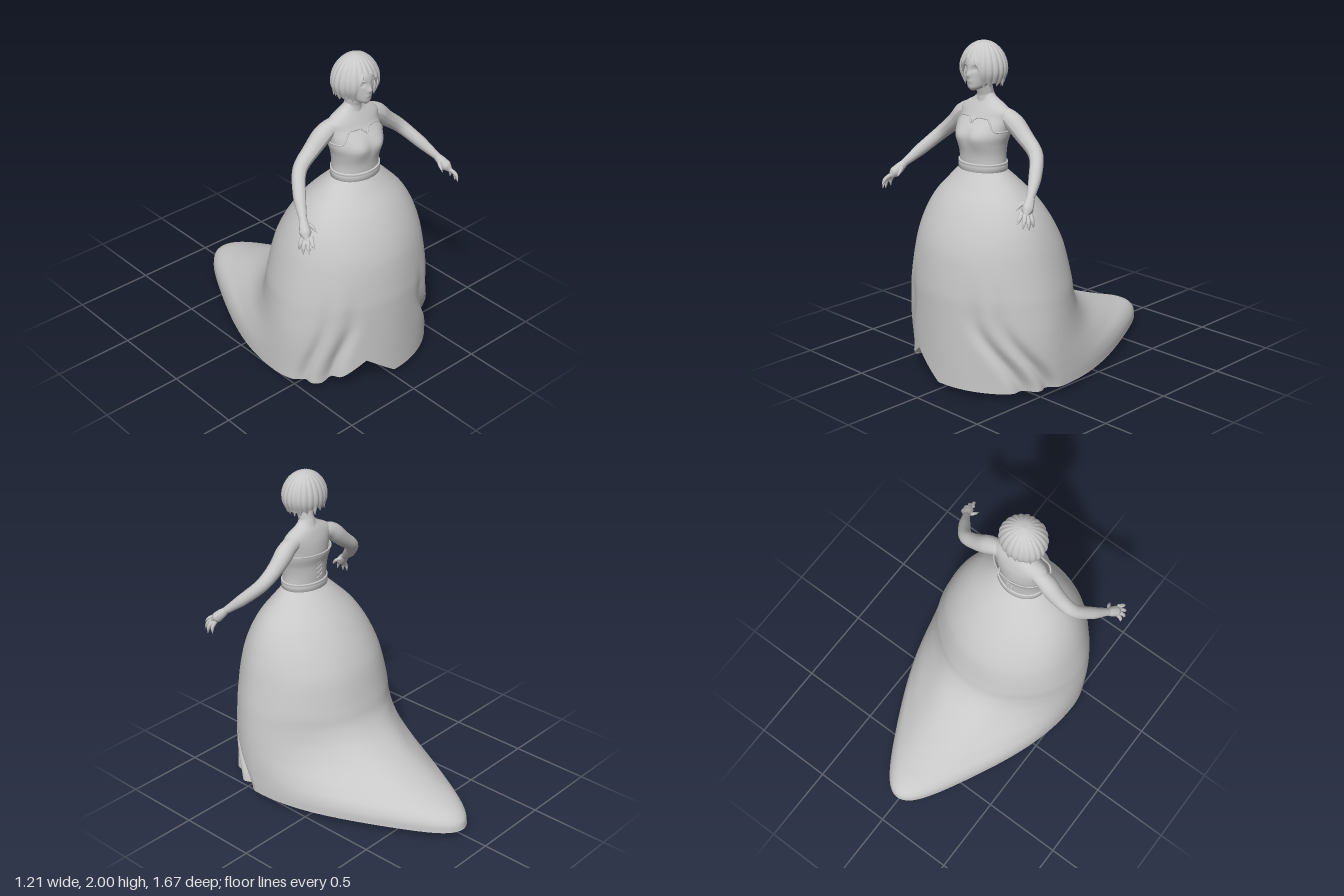
import * as THREE from 'three';

const { sin, cos, abs, max, PI, exp } = Math;
const V = (x, y, z) => new THREE.Vector3(x, y, z);
const smooth = (x, a, b) => THREE.MathUtils.smoothstep(x, a, b);
const bump = (x, c, s) => exp(-(((x - c) / s) ** 2));

// Smooth lookup in a table of rows [y, ...values] ordered by rising y.
function sample(rows, y) {
  let i = 0;
  while (i < rows.length - 2 && y > rows[i + 1][0]) i++;
  const h = rows[i + 1][0] - rows[i][0];
  const t = THREE.MathUtils.clamp((y - rows[i][0]) / h, 0, 1);
  const slope = (n, k) => {
    const a = rows[max(0, n - 1)], b = rows[Math.min(rows.length - 1, n + 1)];
    return (b[k] - a[k]) / (b[0] - a[0]);
  };
  return rows[i].map((p, k) => {
    const q = rows[i + 1][k];
    return p + t * t * (3 - 2 * t) * (q - p)
      + h * t * (1 - t) * ((1 - t) * slope(i, k) - t * slope(i + 1, k));
  });
}

// Closed surface of rings: fn(angle, v) gives a point; angle 0 is the front, v runs upwards.
function rings(nu, nv, fn) {
  const pos = [], idx = [];
  for (let j = 0; j <= nv; j++) {
    for (let i = 0; i < nu; i++) pos.push(...fn((i / nu) * 2 * PI, j / nv).toArray());
  }
  for (let j = 0; j < nv; j++) {
    for (let i = 0; i < nu; i++) {
      const a = j * nu + i, b = j * nu + ((i + 1) % nu);
      idx.push(a, b, b + nu, a, b + nu, a + nu);
    }
  }
  const g = new THREE.BufferGeometry();
  g.setAttribute('position', new THREE.Float32BufferAttribute(pos, 3));
  g.setIndex(idx);
  g.computeVertexNormals();
  return g;
}

// Point on a body ring; rows are [y, halfWidth, zFront, zBack, zWidest, backTaper].
function ringPoint(rows, a, y, grow = 0) {
  const [, w, zf, zb, zc = (zf + zb) / 2, taper = 0] = sample(rows, y);
  const c = cos(a);
  const narrow = c < 0 ? 1 - taper * (0.7 * c * c - 0.32 * c ** 4) : 1;
  return V((w + grow) * sin(a) * narrow, y, zc + c * (c > 0 ? zf - zc + grow : zc - zb + grow));
}

// Tapered tube through points, with a radius at each point.
function limb(points, radii, segs = 20, sides = 12) {
  const curve = new THREE.CatmullRomCurve3(points.map((p) => V(...p)));
  const g = new THREE.TubeGeometry(curve, segs, 1, sides);
  const p = g.attributes.position;
  for (let j = 0; j <= segs; j++) {
    const c = curve.getPointAt(j / segs), f = (j / segs) * (radii.length - 1);
    const i = Math.min(Math.floor(f), radii.length - 2);
    const r = THREE.MathUtils.lerp(radii[i], radii[i + 1], f - i);
    for (let k = 0; k <= sides; k++) {
      const n = j * (sides + 1) + k;
      const q = V().fromBufferAttribute(p, n).sub(c).multiplyScalar(r).add(c);
      p.setXYZ(n, q.x, q.y, q.z);
    }
  }
  g.computeVertexNormals();
  return g;
}

const SKIRT = [
  [0.045, 0.548, 0.835, -0.835, 0.36, 1], [0.1, 0.548, 0.835, -0.82, 0.36, 1],
  [0.15, 0.547, 0.835, -0.75, 0.365, 1], [0.2, 0.546, 0.835, -0.6, 0.37, 0.95],
  [0.3, 0.541, 0.835, -0.34, 0.385, 0.8], [0.4, 0.533, 0.835, -0.175, 0.395, 0.55],
  [0.5, 0.521, 0.835, -0.09, 0.4, 0.3], [0.6, 0.506, 0.833, -0.055, 0.405, 0.12],
  [0.8, 0.46, 0.81, 0, 0.42, 0], [0.9, 0.43, 0.785, 0.045, 0.43, 0],
  [1, 0.387, 0.745, 0.105, 0.44, 0], [1.1, 0.322, 0.69, 0.18, 0.45, 0],
  [1.2, 0.225, 0.615, 0.275, 0.455, 0], [1.27, 0.15, 0.565, 0.35, 0.458, 0],
];
const TORSO = [
  [1.26, 0.145, 0.563, 0.352], [1.35, 0.141, 0.567, 0.345], [1.42, 0.152, 0.575, 0.34],
  [1.47, 0.167, 0.575, 0.335], [1.52, 0.173, 0.555, 0.335], [1.57, 0.178, 0.52, 0.34],
  [1.61, 0.18, 0.5, 0.35], [1.64, 0.14, 0.485, 0.36], [1.66, 0.098, 0.475, 0.37],
  [1.68, 0.066, 0.472, 0.38], [1.7, 0.05, 0.47, 0.387],
];
const HEAD = [
  [1.725, 0.012, 0.54, 0.51], [1.74, 0.042, 0.553, 0.45], [1.77, 0.062, 0.557, 0.4],
  [1.82, 0.077, 0.559, 0.37], [1.87, 0.084, 0.56, 0.36], [1.92, 0.083, 0.545, 0.36],
  [1.97, 0.05, 0.5, 0.38],
];
const HAIR = [
  [1.74, 0.105], [1.78, 0.124], [1.82, 0.14], [1.86, 0.142], [1.9, 0.132],
  [1.94, 0.11], [1.97, 0.08], [1.99, 0.045], [2, 0],
];

// Skirt surface with swept folds near the hem and a lifted opening at the right foot.
function skirtPoint(a, v) {
  const y = 0.045 + 1.225 * v ** 1.25;
  const p = ringPoint(SKIRT, a, y);
  const low = 1 - smooth(y, 0.08, 0.75), b = a > PI ? a - 2 * PI : a;
  const sweep = 0.55 * (1 - smooth(y, 0, 0.5));
  const fold = 0.09 * bump(b, 0.5 + sweep, 0.1) + 0.08 * bump(b, 0.82 + sweep, 0.09)
    + 0.09 * bump(b, -0.6 - sweep * 0.4, 0.1) + 0.06 * bump(b, -0.92 - sweep * 0.4, 0.08);
  const s = 1 - fold * low + 0.006 * cos(9 * a) * smooth(v, 0.1, 0.4) * (1 - v);
  p.x = p.x * s + 0.007 * low;
  p.z = 0.4 + (p.z - 0.4) * s;
  if (cos(b) > 0) {
    const lift = 0.15 * max(0, 1 - abs(p.x + 0.2) / 0.2);
    p.y += lift * max(0, 1 - (y - 0.045) / 0.4);
  }
  return p;
}

// Bodice: sweetheart edge, bust and a back that stands slightly away.
function bodiceEdge(a) {
  if (cos(a) < 0) return 1.5;
  const s = abs(sin(a));
  return 1.5 + 0.072 * (1 - smooth(s, 0.5, 0.92)) - 0.03 * bump(s, 0, 0.1);
}
function bodicePoint(a, v) {
  const y = 1.29 + (bodiceEdge(a) - 1.29) * v;
  const p = ringPoint(TORSO, a, y, 0.008);
  if (cos(a) > 0) p.z += 0.018 * bump(abs(p.x), 0.075, 0.06) * bump(y, 1.46, 0.06);
  else p.z += 0.014 * cos(a) * bump(y, 1.5, 0.05);
  return p;
}

// Bobbed hair with grooves, a jagged hem and an open face.
function hairPoint(a, v) {
  const b = abs(a > PI ? a - 2 * PI : a), side = sin(a);
  const jag = 0.028 * abs(sin(a * 8.5 + 0.4));
  const front = 1.875 + 0.035 * bump(side, -0.05, 0.2) + 0.5 * jag;
  const hem = THREE.MathUtils.lerp(front, 1.745 + jag + 0.02 * smooth(b, 2, 3), smooth(b, 0.45, 0.68));
  const y = hem + (2 - hem) * sin((v * PI) / 2);
  const r = sample(HAIR, y)[1] * (0.98 + 0.05 * abs(sin(a * 11)));
  return V(r * side, y, 0.437 + r * cos(a) * (cos(a) > 0 ? 0.94 : 0.82));
}

export function createModel() {
  const model = new THREE.Group();
  const grey = new THREE.MeshStandardMaterial({ color: 0xc8c8c8, side: THREE.DoubleSide });
  grey.name = 'light grey';
  const add = (name, geometry, parent = model) => {
    const m = new THREE.Mesh(geometry, grey);
    m.name = name;
    parent.add(m);
    return m;
  };

  // Dress
  add('skirt', rings(180, 80, skirtPoint));
  add('hemFacing', rings(180, 2, (a, v) => {
    const p = skirtPoint(a, 0);
    const s = 0.86 + 0.14 * v;
    return V(p.x * s, p.y + 0.012 * (1 - v), 0.25 + (p.z - 0.25) * (0.9 + 0.1 * v));
  }));
  add('bodice', rings(96, 24, bodicePoint));
  const edge = Array.from({ length: 80 }, (_, i) => bodicePoint((i / 80) * 2 * PI, 1));
  add('bodiceTrim', new THREE.TubeGeometry(new THREE.CatmullRomCurve3(edge, true), 160, 0.005, 6, true));
  const belt = [[0.142, 1.262], [0.157, 1.264], [0.157, 1.294], [0.152, 1.298], [0.157, 1.302], [0.157, 1.312], [0.138, 1.312]];
  const band = add('belt', new THREE.LatheGeometry(belt.map((p) => new THREE.Vector2(...p)), 64));
  band.scale.z = 0.8;
  band.position.z = 0.457;
  for (let i = 0; i < 5; i++) {
    const y = 1.34 + i * 0.03;
    for (const s of [-1, 1]) {
      add('backLace', limb([[-0.02 * s, y, 0.332], [0, y + 0.012, 0.326], [0.02 * s, y + 0.025, 0.33]], [0.003, 0.003], 4, 5));
    }
  }

  // Body and head
  add('torso', rings(64, 40, (a, v) => ringPoint(TORSO, a, 1.26 + 0.44 * v)));
  add('neck', limb([[0, 1.62, 0.42], [0, 1.69, 0.43], [0, 1.78, 0.455]], [0.062, 0.048, 0.05]));
  add('head', rings(48, 30, (a, v) => {
    const p = ringPoint(HEAD, a, 1.725 + 0.245 * v);
    if (cos(a) > 0) {
      p.z -= 0.012 * bump(abs(p.x), 0.034, 0.016) * bump(p.y, 1.853, 0.014);
      p.z += 0.006 * bump(p.x, 0, 0.02) * bump(p.y, 1.78, 0.01);
      p.z += 0.02 * bump(p.x, 0, 0.011) * bump(p.y, 1.815, 0.018);
    }
    return p;
  }));
  for (const s of [-1, 1]) {
    const eye = add('eye', new THREE.SphereGeometry(0.012, 14, 10));
    eye.position.set(0.034 * s, 1.852, 0.533);
    eye.scale.set(1.2, 0.65, 0.7);
    add('eyebrow', limb([[0.018 * s, 1.868, 0.554], [0.036 * s, 1.874, 0.549], [0.055 * s, 1.868, 0.535]], [0.002, 0.003, 0.001], 6, 5));
  }
  add('mouth', limb([[-0.02, 1.78, 0.55], [0, 1.781, 0.559], [0.02, 1.78, 0.55]], [0.001, 0.005, 0.001], 8, 6));

  // Hair
  add('hair', rings(198, 28, hairPoint));
  for (let i = 0; i < 14; i++) {
    const a = 0.68 + (i / 13) * (2 * PI - 1.36), tip = 1.745 + 0.018 * (i % 3);
    const at = (r, y) => [r * sin(a), y, 0.437 + r * cos(a) * 0.84];
    add('hairLock', limb([at(0.108, 1.87), at(0.122, 1.83), at(0.12, 1.79), at(0.122, tip)], [0.004, 0.015, 0.013, 0], 10, 6));
  }
  for (const [x0, x1, y1] of [[0.02, 0.078, 1.81], [-0.02, -0.08, 1.8]]) {
    add('fringeLock', limb([[x0, 1.95, 0.52], [(x0 + x1) / 2, 1.9, 0.545], [x1, y1, 0.53]], [0.004, 0.016, 0], 10, 6));
  }

  // Arms, hands and feet; the second side is mirrored
  for (const s of [1, -1]) {
    const side = new THREE.Group();
    side.name = s > 0 ? 'leftLimbs' : 'rightLimbs';
    side.scale.x = s;
    model.add(side);
    add('arm', limb(
      [[0.1, 1.59, 0.415], [0.18, 1.567, 0.41], [0.285, 1.48, 0.405], [0.385, 1.4, 0.42], [0.46, 1.31, 0.5], [0.525, 1.215, 0.605]],
      [0.045, 0.056, 0.046, 0.04, 0.036, 0.022], 32, 16), side);
    add('palm', limb([[0.52, 1.222, 0.597], [0.54, 1.185, 0.635], [0.558, 1.15, 0.67], [0.564, 1.135, 0.685]],
      [0.021, 0.029, 0.033, 0.01], 12, 12), side);
    const fingers = [
      [[0.545, 1.155, 0.695], [0.56, 1.135, 0.722], [0.562, 1.105, 0.745]],
      [[0.557, 1.145, 0.685], [0.58, 1.115, 0.71], [0.582, 1.075, 0.725]],
      [[0.565, 1.14, 0.67], [0.592, 1.108, 0.685], [0.597, 1.065, 0.69]],
      [[0.567, 1.145, 0.65], [0.59, 1.112, 0.655], [0.595, 1.075, 0.652]],
    ];
    for (const f of fingers) add('finger', limb(f, [0.013, 0.012, 0.01, 0.002], 10, 8), side);
    add('thumb', limb([[0.525, 1.2, 0.62], [0.502, 1.185, 0.65], [0.492, 1.155, 0.685]], [0.014, 0.012, 0.009, 0.001], 10, 8), side);

    const shoe = add('shoe', rings(32, 12, (a, v) => {
      const r = cos((v * PI) / 2) ** 0.6, c = cos(a);
      const w = 0.047 + 0.008 * c;
      return V(w * sin(a) * r, 0.014 + 0.045 * sin((v * PI) / 2), 0.51 + 0.13 * c * r);
    }), side);
    shoe.position.x = 0.21;
    const sole = add('sole', new THREE.CylinderGeometry(1, 0.9, 0.016, 32), side);
    sole.scale.set(0.05, 1, 0.13);
    sole.position.set(0.21, 0.008, 0.51);
    add('ankle', limb([[0.21, 0.03, 0.455], [0.21, 0.09, 0.44], [0.21, 0.13, 0.435]], [0.036, 0.027, 0.032], 8, 12), side);
  }
  return model;
}
